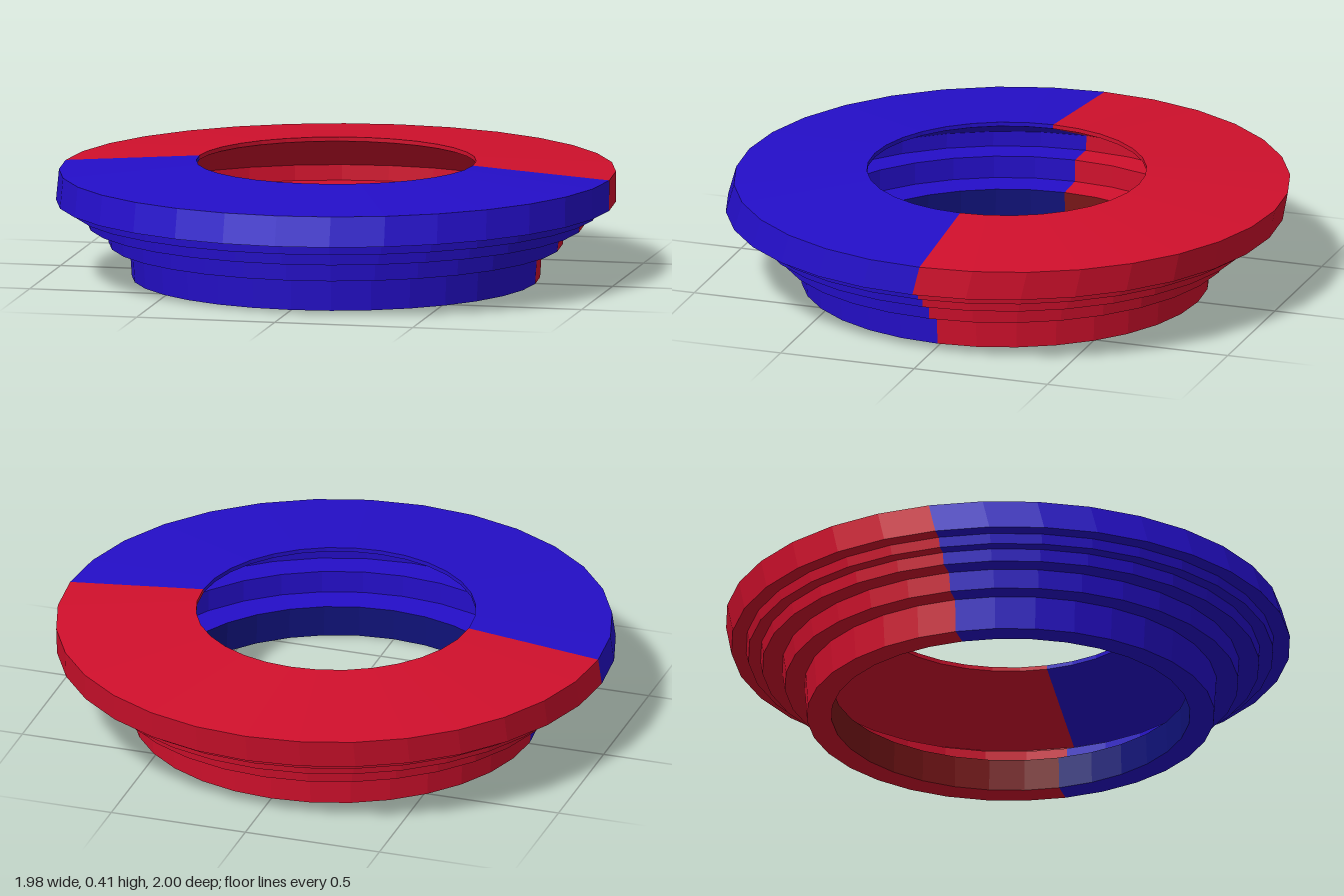
import * as THREE from 'three';

// Cross-section points: radius, height, z offset of that ring's centre.
// Runs from the bottom foot up the stepped outside, over the top and down the stepped inside.
const BODY = [
  [0.635, 0, 0.01], [0.722, 0, 0.01],
  [0.73, 0.12, 0.01], [0.803, 0.12, 0.013],
  [0.81, 0.19, 0.01], [0.88, 0.19, 0.01],
  [0.885, 0.235, 0.008], [0.93, 0.235, 0.01],
  [0.935, 0.272, 0.007], [0.99, 0.272, 0.01],
  [0.985, 0.377, -0.015],
  [0.495, 0.415, 0.005], [0.495, 0.40, 0.005],
  [0.85, 0.255, 0.005], [0.85, 0.2, 0.008],
  [0.74, 0.2, 0.01], [0.74, 0.12, 0.01],
  [0.63, 0.115, 0.01],
];
const LINER = [[0.63, 0.115, 0.01], [0.635, 0, 0.01]];

const SIDES = 32;

// Revolve a section through half a turn, sliding each ring along z
function halfRing(section, phiStart) {
  const points = section.map(([r, y]) => new THREE.Vector2(r, y));
  const geometry = new THREE.LatheGeometry(points, SIDES / 2, phiStart, Math.PI);
  const position = geometry.attributes.position;
  for (let i = 0; i < position.count; i++) {
    position.setZ(i, position.getZ(i) + section[i % section.length][2]);
  }
  const flat = geometry.toNonIndexed();
  flat.computeVertexNormals();
  return flat;
}

function part(name, section, phiStart, color) {
  const material = new THREE.MeshStandardMaterial({ color, flatShading: true });
  const mesh = new THREE.Mesh(halfRing(section, phiStart), material);
  mesh.name = name;
  return mesh;
}

export function createModel() {
  const group = new THREE.Group();
  group.name = 'steppedRing';

  // Blue front half and red back half, each with a darker liner inside the foot
  const halves = [
    ['front', -Math.PI / 2, 0x240ec8, 0x10127a],
    ['back', Math.PI / 2, 0xd0102c, 0x7a1618],
  ];
  for (const [name, start, bodyColor, linerColor] of halves) {
    const half = new THREE.Group();
    half.name = name + 'Half';
    half.add(part(name + 'Body', BODY, start, bodyColor));
    half.add(part(name + 'FootLiner', LINER, start, linerColor));
    group.add(half);
  }
  return group;
}
